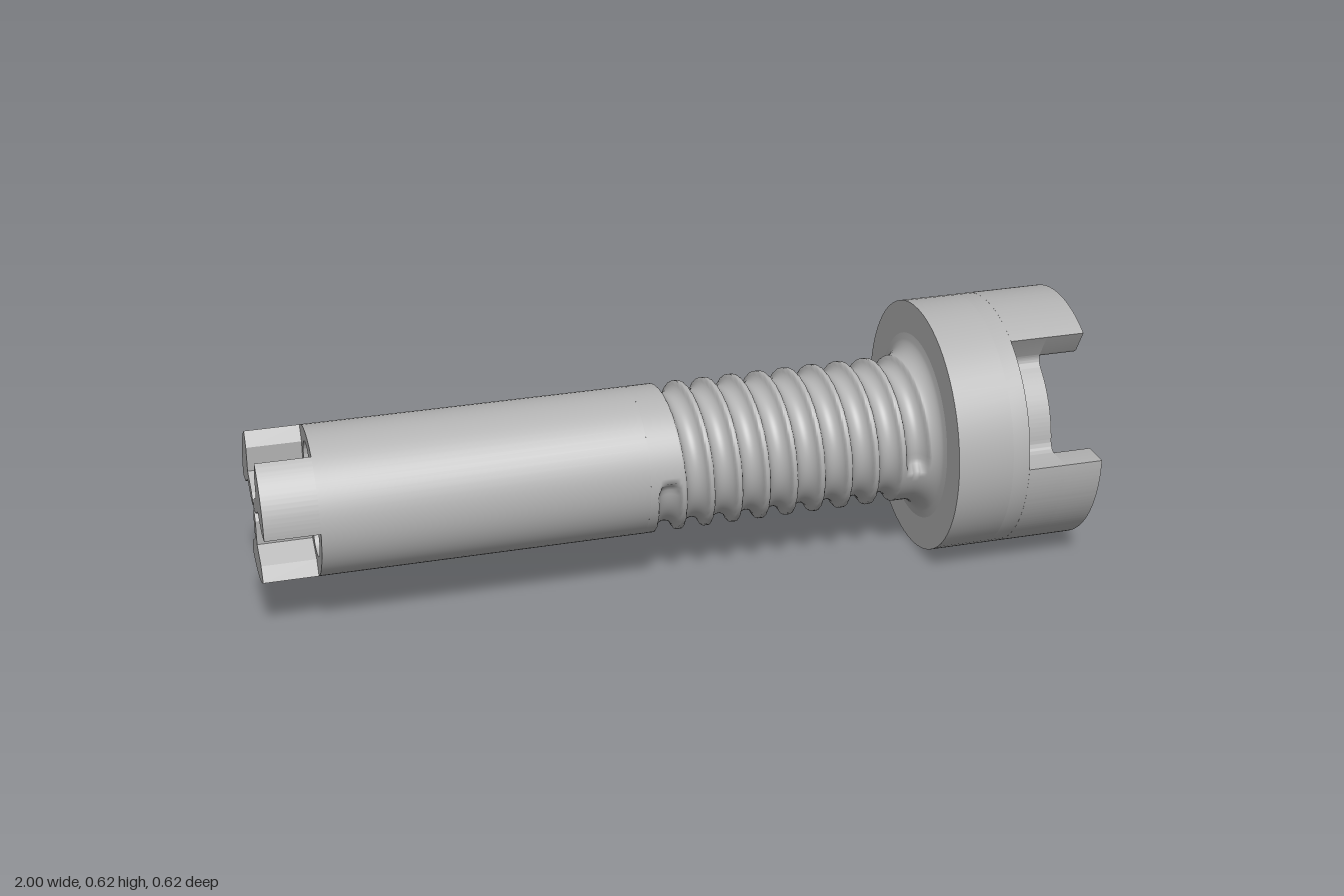
import * as THREE from 'three';
import { toCreasedNormals } from 'three/addons/utils/BufferGeometryUtils.js';

const HEAD_R = 0.311, CORE_R = 0.222, SHAFT_R = 0.179, FILLET_R = 0.248;
const HOLE_R = 0.049, HEX_R = 0.081, HOLE_DIST = 0.1;
const rad = (deg) => deg * Math.PI / 180;
const polar = (r, deg) => [r * Math.cos(rad(deg)), r * Math.sin(rad(deg))];
const HOLE_ANGLES = [90, 210, 330];

export function createModel() {
  const steel = new THREE.MeshStandardMaterial({ color: 0xb3b3b3 });
  steel.name = 'plain grey';
  const insideGrey = steel.clone();
  insideGrey.side = THREE.BackSide;
  insideGrey.name = 'plain grey inside';

  const group = new THREE.Group();
  const axis = new THREE.Group();
  axis.name = 'bolt';
  axis.position.y = HEAD_R;
  group.add(axis);

  const add = (name, geometry, material = steel) => {
    const mesh = new THREE.Mesh(geometry, material);
    mesh.name = name;
    axis.add(mesh);
  };

  // Extrude a cross-section along x from x0 to x1
  const slice = (name, shape, x0, x1) => {
    const geo = new THREE.ExtrudeGeometry(shape, { depth: x1 - x0, bevelEnabled: false, curveSegments: 32 });
    geo.rotateY(Math.PI / 2).translate(x0, 0, 0);
    add(name, toCreasedNormals(geo, 0.5));
  };

  const disc = (r) => new THREE.Shape().absarc(0, 0, r, 0, Math.PI * 2, false);

  // Three bores, round or hexagonal
  const withBores = (shape, hex) => {
    for (const angle of HOLE_ANGLES) {
      const [cx, cy] = polar(HOLE_DIST, angle);
      const path = new THREE.Path();
      if (hex) {
        path.setFromPoints([30, 90, 150, 210, 270, 330, 390].map((a) => {
          const [px, py] = polar(HEX_R, a);
          return new THREE.Vector2(cx + px, cy + py);
        }));
      } else path.absarc(cx, cy, HOLE_R, 0, Math.PI * 2, true);
      shape.holes.push(path);
    }
    return shape;
  };

  // Head: solid collar, hexagonal pockets, slotted ring, open tabs
  slice('headCollar', withBores(disc(HEAD_R), false), 0.632, 0.77);
  slice('headPocketLayer', withBores(disc(HEAD_R), true), 0.77, 0.812);

  const slotted = new THREE.Shape();
  slotted.moveTo(...polar(HEAD_R, 60));
  for (const a of [60, 180, 300]) {
    slotted.absarc(0, 0, HEAD_R, rad(a), rad(a + 60), false);
    slotted.lineTo(...polar(FILLET_R, a + 60));
    slotted.quadraticCurveTo(...polar(CORE_R, a + 60), ...polar(CORE_R, a + 68));
    slotted.absarc(0, 0, CORE_R, rad(a + 68), rad(a + 112), false);
    slotted.quadraticCurveTo(...polar(CORE_R, a + 120), ...polar(FILLET_R, a + 120));
    slotted.lineTo(...polar(HEAD_R, a + 120));
  }
  slice('headSlottedCore', withBores(slotted, true), 0.812, 0.905);

  for (const a of [60, 180, 300]) {
    const tab = new THREE.Shape();
    tab.moveTo(...polar(HEAD_R, a));
    tab.absarc(0, 0, HEAD_R, rad(a), rad(a + 60), false);
    tab.lineTo(...polar(FILLET_R, a + 60));
    tab.quadraticCurveTo(...polar(CORE_R, a + 60), ...polar(CORE_R, a + 52));
    tab.absarc(0, 0, CORE_R, rad(a + 52), rad(a + 8), true);
    tab.quadraticCurveTo(...polar(CORE_R, a), ...polar(FILLET_R, a));
    tab.closePath();
    slice('headTab', tab, 0.905, 1);
  }

  // Smooth shaft
  slice('shaft', withBores(disc(SHAFT_R), false), -0.87, -0.09);

  // Tail tabs: wedges notched by the hexagonal sockets
  const notch = [[0, 0], [0.034, 0], [0.0866, 0.031], [0.139, 0], [SHAFT_R, 0]];
  for (const a of [0, 120, 240]) {
    const turn = ([x, y]) => {
      const c = Math.cos(rad(a)), s = Math.sin(rad(a));
      return [x * c - y * s, x * s + y * c];
    };
    const mirror = ([x, y]) => {
      const c = Math.cos(rad(60)), s = Math.sin(rad(60));
      return [x * c + y * s, x * s - y * c];
    };
    const tab = new THREE.Shape();
    notch.forEach((p, i) => (i ? tab.lineTo(...turn(p)) : tab.moveTo(...turn(p))));
    tab.absarc(0, 0, SHAFT_R, rad(a), rad(a + 60), false);
    notch.slice(1, 4).reverse().forEach((p) => tab.lineTo(...turn(mirror(p))));
    tab.closePath();
    slice('tailTab', tab, -1, -0.87);
  }

  // Threaded neck: a helical groove cut into the shaft, flaring into the head
  add('threadedNeck', threadGeometry());

  // Bores through the neck
  for (const angle of HOLE_ANGLES) {
    const [px, py] = polar(HOLE_DIST, angle);
    const bore = new THREE.CylinderGeometry(HOLE_R, HOLE_R, 0.73, 48, 1, true);
    bore.rotateZ(Math.PI / 2).translate(0.271, py, px);
    add('bore', bore, insideGrey);
  }
  return group;
}

function threadGeometry() {
  const X0 = -0.09, X1 = 0.632, ROWS = 300, SIDES = 80;
  const PITCH = 0.069, START = -0.042, START_TURN = 95 / 360, TURNS = 9;
  const HALF_W = 0.028, DEPTH = 0.025, FLARE = 0.052;

  const radius = (x, turn) => {
    let r = SHAFT_R;
    const f = x - (X1 - FLARE);
    if (f > 0) r += FLARE - Math.sqrt(Math.max(0, FLARE * FLARE - f * f));
    // Distance to the nearest groove, with rounded ends
    const phase = turn - START_TURN;
    const near = Math.round((x - START) / PITCH - phase);
    let best = 1;
    for (let k = near - 1; k <= near + 1; k++) {
      const t = phase + k;
      const end = Math.min(Math.max(t, 0), TURNS);
      const along = (t - end) * 2 * Math.PI * SHAFT_R;
      best = Math.min(best, Math.hypot(x - START - end * PITCH, along));
    }
    return r - DEPTH * Math.pow(Math.max(0, 1 - (best / HALF_W) ** 2), 0.65);
  };

  const positions = [], index = [];
  for (let i = 0; i <= ROWS; i++) {
    const x = X0 + (X1 - X0) * i / ROWS;
    for (let j = 0; j < SIDES; j++) {
      const turn = j / SIDES, a = turn * Math.PI * 2, r = radius(x, turn);
      positions.push(x, r * Math.cos(a), r * Math.sin(a));
      if (i === ROWS) continue;
      const p = i * SIDES + j, q = i * SIDES + (j + 1) % SIDES;
      index.push(p, q, p + SIDES, q, q + SIDES, p + SIDES);
    }
  }
  const geo = new THREE.BufferGeometry();
  geo.setAttribute('position', new THREE.Float32BufferAttribute(positions, 3));
  geo.setIndex(index);
  geo.computeVertexNormals();
  return geo;
}
